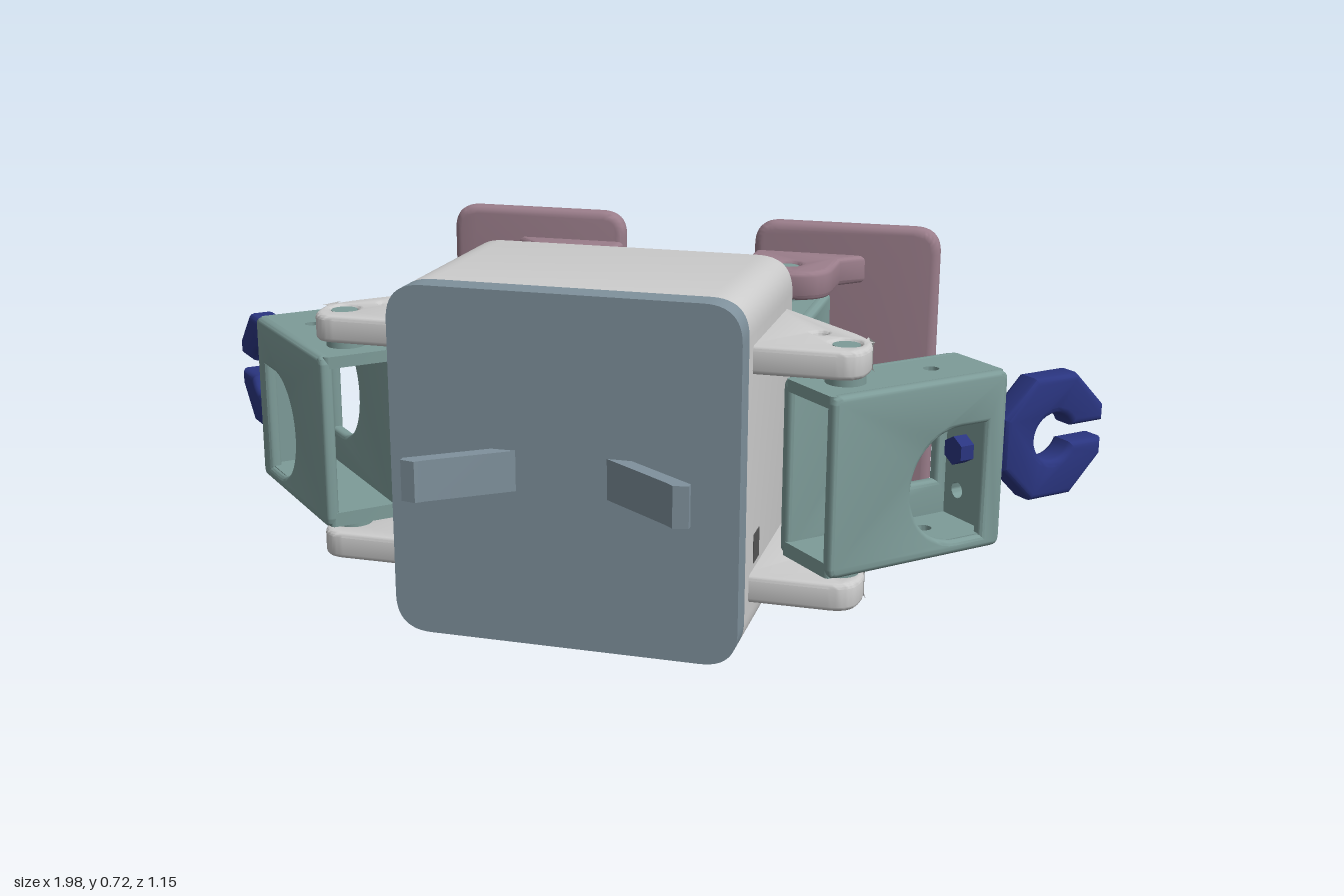
import * as THREE from 'three';
import { toCreasedNormals } from 'three/addons/utils/BufferGeometryUtils.js';

const mat = (color) => new THREE.MeshStandardMaterial({ color });
const GREY = mat(0xcccccc), SLATE = mat(0x7f919c), TEAL = mat(0x7d9b98);
const MAUVE = mat(0x9a7d8a), NAVY = mat(0x2a3580), DARK = mat(0x555555);

// Polygon from [x, y, cornerRadius] points
function poly(points) {
  const s = new THREE.Shape(), n = points.length;
  points.forEach(([x, y, r = 0], i) => {
    const p = new THREE.Vector2(x, y);
    const toward = (q) => new THREE.Vector2(q[0], q[1]).sub(p).setLength(r).add(p);
    const a = r ? toward(points[(i + n - 1) % n]) : p;
    const b = r ? toward(points[(i + 1) % n]) : p;
    i ? s.lineTo(a.x, a.y) : s.moveTo(a.x, a.y);
    if (r) s.quadraticCurveTo(x, y, b.x, b.y);
  });
  s.closePath();
  return s;
}
const rect = (x0, y0, x1, y1, r = 0) => poly([[x0, y0, r], [x1, y0, r], [x1, y1, r], [x0, y1, r]]);
function drill(shape, x, y, r) {
  shape.holes.push(new THREE.Path().absarc(x, y, r, 0, Math.PI * 2, true));
  return shape;
}

// Extrusion of exact outer size, with rounded rims
function extrude(shape, depth, bevel) {
  const g = new THREE.ExtrudeGeometry(shape, {
    depth: depth - 2 * bevel, bevelEnabled: bevel > 0, bevelThickness: bevel,
    bevelSize: bevel, bevelOffset: -bevel, bevelSegments: 3, curveSegments: 12,
  });
  g.translate(0, 0, bevel);
  return toCreasedNormals(g, 0.6);
}
const upright = (shape, z0, z1, b = 0) => extrude(shape, z1 - z0, b).translate(0, 0, z0);                      // outline (x, y)
const slab = (shape, y0, y1, b = 0) => extrude(shape, y1 - y0, b).rotateX(Math.PI / 2).translate(0, y1, 0);     // outline (x, z)
const wall = (shape, x0, x1, b = 0) => extrude(shape, x1 - x0, b).rotateY(-Math.PI / 2).translate(x1, 0, 0);    // outline (z, y)
const box = (w, h, d, x, y, z) => new THREE.BoxGeometry(w, h, d).translate(x, y, z);

function add(parent, name, geometry, material) {
  const m = new THREE.Mesh(geometry, material);
  m.name = name;
  parent.add(m);
  return m;
}

// Hollow motor bracket: hinge on the y axis, body running along +z
function bracket() {
  const g = new THREE.Group();
  g.name = 'motorBracket';
  const z0 = -0.085, z1 = 0.33, y0 = 0.182, y1 = 0.545, w = 0.0875, t = 0.028;
  for (const [side, cy] of [[-1, 0.327], [1, 0.4]]) {
    const s = rect(z0, y0, z1, y1, 0.02);
    // D-shaped opening, round toward the hinge
    const d = new THREE.Path();
    d.moveTo(0.28, cy - 0.117);
    d.lineTo(0.28, cy + 0.117);
    d.lineTo(0.22, cy + 0.117);
    d.absarc(0.22, cy, 0.117, Math.PI / 2, Math.PI * 1.5, false);
    d.closePath();
    s.holes.push(d);
    add(g, 'bracketSide', wall(s, side > 0 ? w - t : -w, side > 0 ? w : t - w, 0.01), TEAL);
  }
  const cap = () => drill(rect(-w + 0.01, z0, w - 0.01, z1 - 0.004, 0.01), 0, 0.205, 0.016);
  add(g, 'bracketTop', slab(cap(), y1 - 0.025, y1 - 0.0005), TEAL);
  add(g, 'bracketBottom', slab(cap(), y0 + 0.0005, y0 + 0.03), TEAL);
  // Far end with a cable window and a screw hole
  const end = drill(rect(-w + 0.01, y0 + 0.01, w - 0.01, y1 - 0.01), 0.02, 0.27, 0.017);
  end.holes.push(rect(-0.055, 0.45, 0.055, 0.515));
  add(g, 'bracketEnd', upright(end, z1 - 0.028, z1 - 0.001), TEAL);
  for (const y of [0.1725, 0.555])
    add(g, 'hingeBoss', new THREE.CylinderGeometry(0.04, 0.04, 0.03, 24).translate(0, y, 0), TEAL);
  for (const y of [0.13, 0.5925])
    add(g, 'hingePin', new THREE.CylinderGeometry(0.027, 0.027, 0.052, 20).translate(0, y, 0), TEAL);
  return g;
}

// Octagonal hand with a round eye and a slot open at the tip
function hand() {
  const g = new THREE.Group();
  g.name = 'hand';
  const cz = 0.51, cy = 0.365, A = 0.13, R = A / Math.cos(Math.PI / 8), slot = 0.018, eye = 0.05;
  const pts = [[cz + A, cy + slot]];
  for (let i = 0; i < 8; i++) {
    const a = Math.PI / 8 + i * Math.PI / 4;
    pts.push([cz + R * Math.cos(a), cy + R * Math.sin(a)]);
  }
  pts.push([cz + A, cy - slot]);
  const a0 = Math.asin(slot / eye);
  for (let i = 0; i <= 24; i++) {
    const a = -a0 - (2 * Math.PI - 2 * a0) * i / 24;
    pts.push([cz + eye * Math.cos(a), cy + eye * Math.sin(a)]);
  }
  add(g, 'handRing', wall(poly(pts), -0.032, 0.032, 0.014), NAVY);
  add(g, 'handNeck', box(0.045, 0.11, 0.06, 0, cy, 0.38), NAVY);
  const flange = new THREE.CylinderGeometry(0.068, 0.08, 0.04, 16).rotateX(Math.PI / 2).scale(0.5, 1, 1);
  add(g, 'handFlange', toCreasedNormals(flange.translate(0, cy, 0.351), 0.6), NAVY);
  add(g, 'handPeg', toCreasedNormals(new THREE.CylinderGeometry(0.03, 0.03, 0.07, 6)
    .rotateX(Math.PI / 2).translate(0, cy, 0.305), 0.3), NAVY);
  return g;
}

// Everything on the +x half
function half() {
  const g = new THREE.Group();
  // Shoulder ears above and below the arm
  for (const y of [0.1, 0.565]) {
    const ear = poly([[0.33, 0.03], [0.355, 0.03], [0.55, 0.225, 0.04], [0.572, 0.27, 0.03],
      [0.562, 0.362, 0.05], [0.33, 0.362]]);
    drill(drill(ear, 0.52, 0.285, 0.029), 0.457, 0.22, 0.014);
    add(g, 'shoulderEar', slab(ear, y, y + 0.057, 0.01), GREY);
  }
  // Arm, swung outward and back
  const arm = bracket();
  arm.name = 'arm';
  arm.add(hand());
  arm.position.set(0.52, 0, 0.285);
  arm.rotation.y = Math.PI * 0.75;
  g.add(arm);
  // Leg and foot
  const leg = bracket();
  leg.name = 'leg';
  leg.position.set(0.268, 0, -0.395);
  g.add(leg);
  add(g, 'footPlate', upright(rect(0.16, 0.03, 0.595, 0.695, 0.06), -0.575, -0.525, 0.018), MAUVE);
  for (const y of [0.098, 0.56]) {
    const lug = poly([[0.163, -0.54], [0.43, -0.54], [0.43, -0.53], [0.375, -0.478], [0.375, -0.298, 0.09], [0.163, -0.298, 0.09]]);
    drill(drill(lug, 0.268, -0.395, 0.029), 0.268, -0.327, 0.012);
    add(g, 'footLug', slab(lug, y, y + 0.065, 0.012), MAUVE);
  }
  // Thin prong flaring from the face
  const prong = poly([[0.075, 0.44], [0.125, 0.44], [0.285, 0.555], [0.285, 0.568], [0.255, 0.574], [0.24, 0.56]]);
  add(g, 'faceProng', slab(prong, 0.32, 0.403), SLATE);
  add(g, 'sidePort', box(0.004, 0.06, 0.05, 0.3545, 0.2, 0.3), DARK);
  return g;
}

export function createModel() {
  const model = new THREE.Group();
  model.name = 'robot';
  // Body case and front cover
  const outline = () => rect(-0.355, 0, 0.355, 0.72, 0.075);
  add(model, 'bodyCase', upright(outline(), -0.042, 0.425, 0.03), GREY);
  add(model, 'frontCover', upright(outline(), 0.395, 0.453), SLATE);
  // Back ports, speaker holes and underside panel
  const disc = (name, x, y, r) =>
    add(model, name, new THREE.CylinderGeometry(r, r, 0.004, 16).rotateX(Math.PI / 2).translate(x, y, -0.041), DARK);
  disc('roundPort', 0.16, 0.08, 0.022);
  disc('statusHole', 0, 0.58, 0.006);
  disc('speakerHole', -0.08, 0.23, 0.01);
  for (let i = 0; i < 8; i++) {
    const a = i * Math.PI / 4;
    disc('speakerHole', -0.08 + 0.05 * Math.cos(a), 0.23 + 0.05 * Math.sin(a), 0.01);
  }
  add(model, 'slotPort', box(0.075, 0.035, 0.004, -0.08, 0.08, -0.041), DARK);
  add(model, 'squarePort', box(0.07, 0.06, 0.004, -0.26, 0.09, -0.041), DARK);
  add(model, 'undersidePanel', box(0.34, 0.004, 0.26, -0.05, 0.0015, 0.21), DARK);

  const left = half(), right = half();
  left.name = 'leftHalf';
  right.name = 'rightHalf';
  right.scale.x = -1;
  model.add(left, right);
  return model;
}
